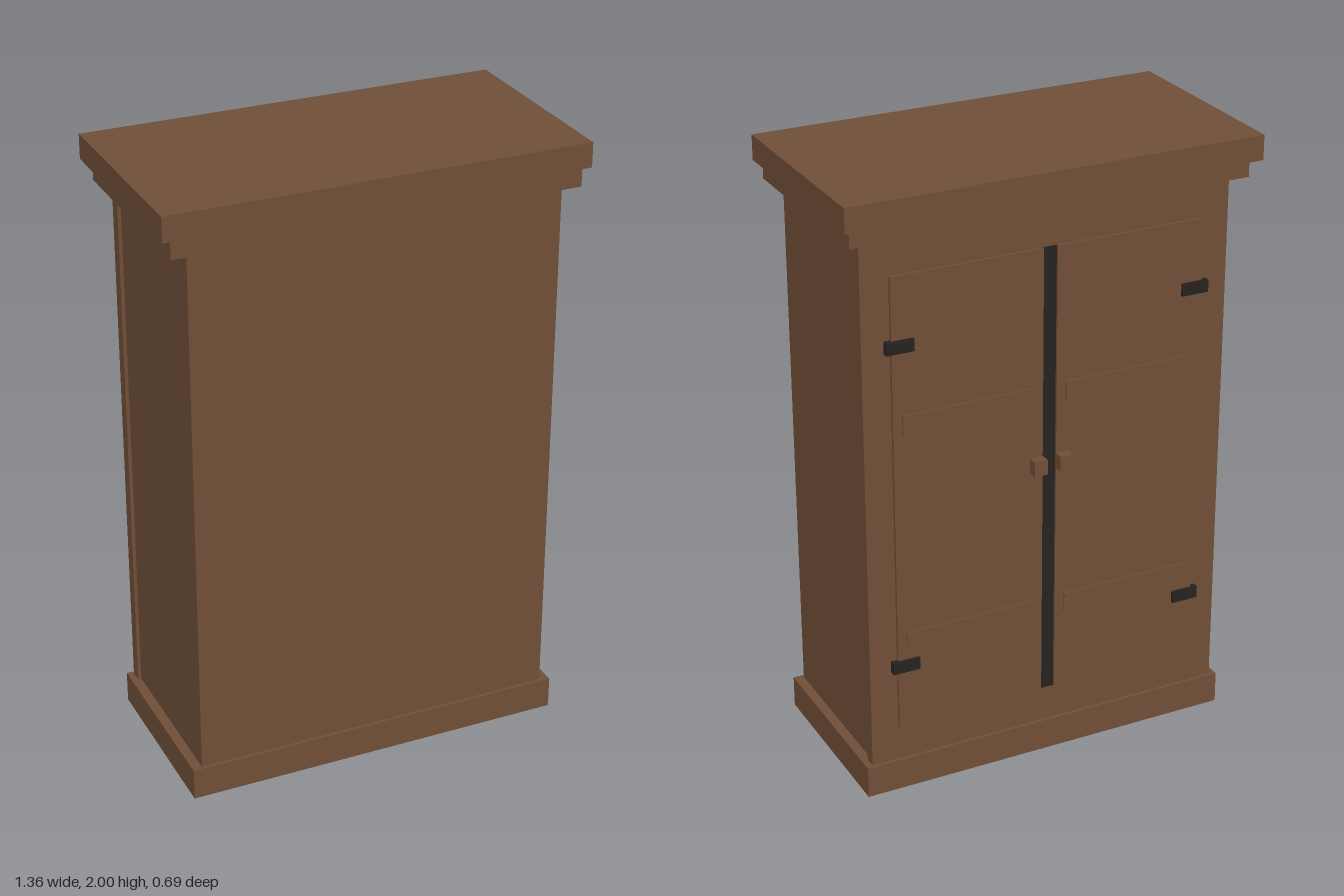
import * as THREE from 'three';

export function createModel() {
  const cabinet = new THREE.Group();
  cabinet.name = 'cabinet';
  const wood = new THREE.MeshStandardMaterial({ color: 0x6f4e37 });
  wood.name = 'brown wood';
  const iron = new THREE.MeshStandardMaterial({ color: 0x262220 });
  iron.name = 'dark iron';

  // Box given by its limits on each axis
  function box(name, material, [x0, x1], [y0, y1], [z0, z1], parent = cabinet) {
    const mesh = new THREE.Mesh(new THREE.BoxGeometry(x1 - x0, y1 - y0, z1 - z0), material);
    mesh.position.set((x0 + x1) / 2, (y0 + y1) / 2, (z0 + z1) / 2);
    mesh.name = name;
    parent.add(mesh);
  }

  // Carcass with plinth and stepped cornice
  box('plinth', wood, [-0.632, 0.632], [0, 0.105], [-0.282, 0.326]);
  box('carcass', wood, [-0.6, 0.6], [0.105, 1.86], [-0.23, 0.315]);
  box('faceFrame', wood, [-0.611, 0.611], [0.105, 1.86], [-0.271, -0.23]);
  box('lowerCornice', wood, [-0.655, 0.655], [1.86, 1.92], [-0.312, 0.336]);
  box('upperCornice', wood, [-0.682, 0.682], [1.92, 2], [-0.346, 0.346]);

  // Dark gap between the doors
  box('doorGap', iron, [-0.023, 0.023], [0.225, 1.74], [-0.274, -0.27]);

  // Mirrored doors with rails, hinges and knobs
  for (const side of [1, -1]) {
    const door = new THREE.Group();
    door.name = side > 0 ? 'leftDoor' : 'rightDoor';
    cabinet.add(door);
    const span = (a, b) => (side > 0 ? [a, b] : [-b, -a]);
    box('doorPanel', wood, span(0.023, 0.52), [0.225, 1.74], [-0.281, -0.271], door);
    for (const y of [0.53, 1.265])
      box('rail', wood, span(0.054, 0.49), [y - 0.031, y + 0.031], [-0.287, -0.281], door);
    for (const y of [0.445, 1.52])
      box('hinge', iron, span(0.45, 0.54), [y - 0.02, y + 0.02], [-0.291, -0.271], door);
    box('knob', wood, span(0.022, 0.066), [1.01, 1.06], [-0.313, -0.281], door);
  }
  return cabinet;
}
